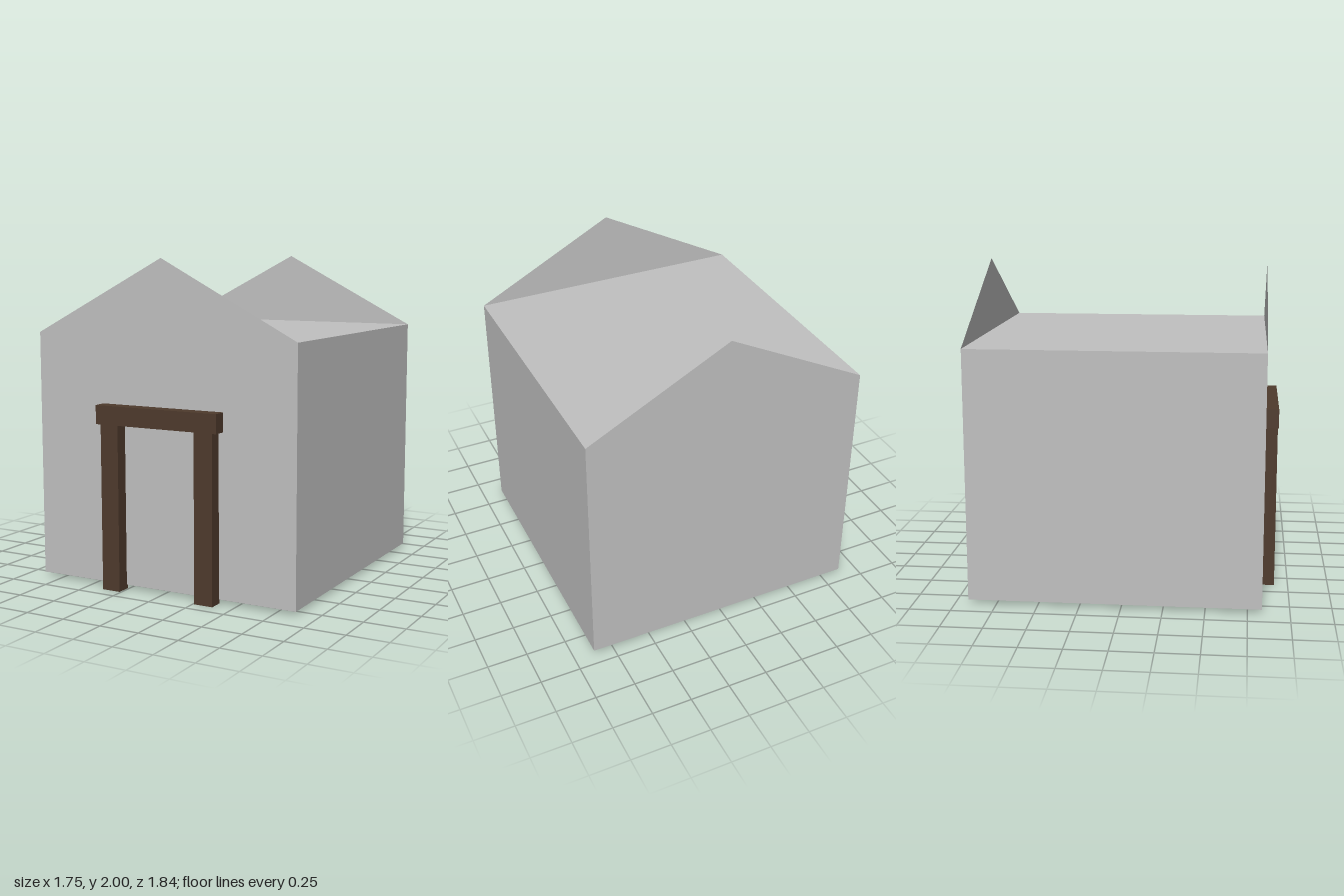
import * as THREE from 'three';

const stone = new THREE.MeshStandardMaterial({ color: 0xc0c0c0, side: THREE.DoubleSide });
stone.name = 'light grey wall';
const wood = new THREE.MeshStandardMaterial({ color: 0x4e3a2c });
wood.name = 'dark brown wood';

const HALF_W = 0.875, BASE = 0.025, EAVE = 1.545, PEAK = 2, FRONT = 0.835, BACK = -0.92;

// Box given by its min and max corners
function block(name, material, min, max) {
  const size = max.map((v, i) => v - min[i]);
  const mesh = new THREE.Mesh(new THREE.BoxGeometry(...size), material);
  mesh.position.set(...max.map((v, i) => (v + min[i]) / 2));
  mesh.name = name;
  return mesh;
}

// Thin triangular gable standing on the end of the flat roof
function gable(name, z, turn) {
  const shape = new THREE.Shape([
    new THREE.Vector2(-HALF_W, EAVE),
    new THREE.Vector2(HALF_W, EAVE),
    new THREE.Vector2(0, PEAK),
  ]);
  const mesh = new THREE.Mesh(new THREE.ShapeGeometry(shape), stone);
  mesh.position.z = z;
  mesh.rotation.y = turn;
  mesh.name = name;
  return mesh;
}

export function createModel() {
  const model = new THREE.Group();
  model.name = 'house';

  // Walls with flat top, and a gable at each end
  model.add(block('walls', stone, [-HALF_W, BASE, BACK], [HALF_W, EAVE, FRONT]));
  model.add(gable('frontGable', FRONT, 0), gable('backGable', BACK, Math.PI));

  // Door frame: two posts and a lintel
  const frame = new THREE.Group();
  frame.name = 'doorFrame';
  for (const [name, x] of [['leftPost', 0.32], ['rightPost', -0.32]]) {
    frame.add(block(name, wood, [x - 0.06, 0, 0.825], [x + 0.06, 1.015, 0.915]));
  }
  frame.add(block('lintel', wood, [-0.41, 1.015, 0.82], [0.41, 1.13, 0.92]));
  model.add(frame);

  return model;
}
